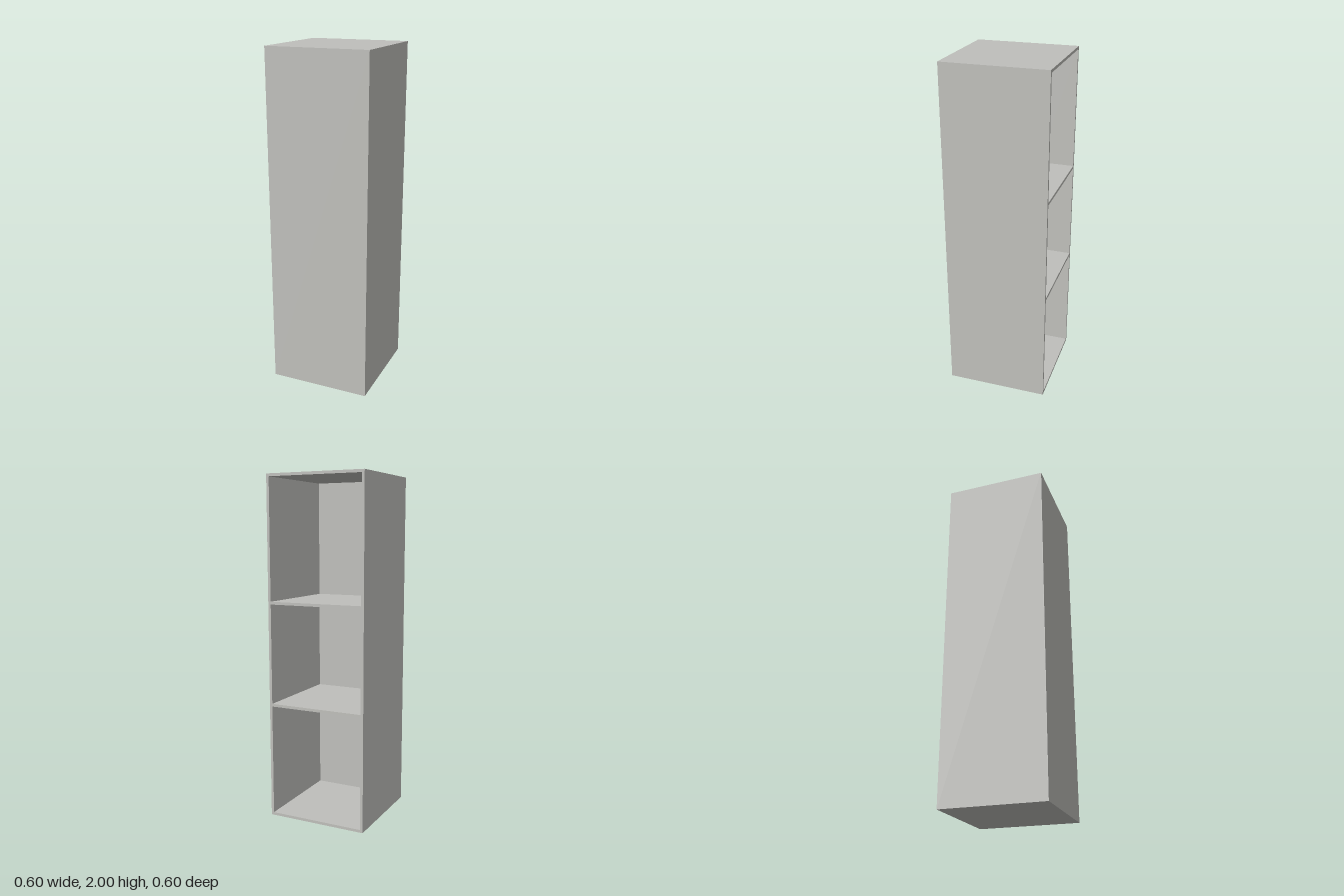
import * as THREE from 'three';

export function createModel() {
  const group = new THREE.Group();
  group.name = 'shelfCabinet';
  const board = new THREE.MeshStandardMaterial({ color: 0xbfbfbb });
  board.name = 'pale grey board';

  const W = 0.6, H = 2, D = 0.6;
  const T = 0.016; // board thickness
  const P = 0.003; // thin closing panel
  const depth = D - P;

  function box(name, w, h, d, x, y, z) {
    const mesh = new THREE.Mesh(new THREE.BoxGeometry(w, h, d), board);
    mesh.name = name;
    mesh.position.set(x, y, z);
    group.add(mesh);
  }

  // Side walls
  for (const s of [-1, 1]) {
    box(s > 0 ? 'leftWall' : 'rightWall', T, H, depth, s * (W - T) / 2, H / 2, -P / 2);
  }

  // Floor, shelves and top fit between the walls; the back is open
  const levels = { floor: T / 2, lowerShelf: 0.678, upperShelf: 1.278, top: H - T / 2 };
  for (const [name, y] of Object.entries(levels)) {
    box(name, W - 2 * T, T, depth, 0, y, -P / 2);
  }

  // Thin panel closing the front
  box('frontPanel', W, H, P, 0, H / 2, (D - P) / 2);

  return group;
}
